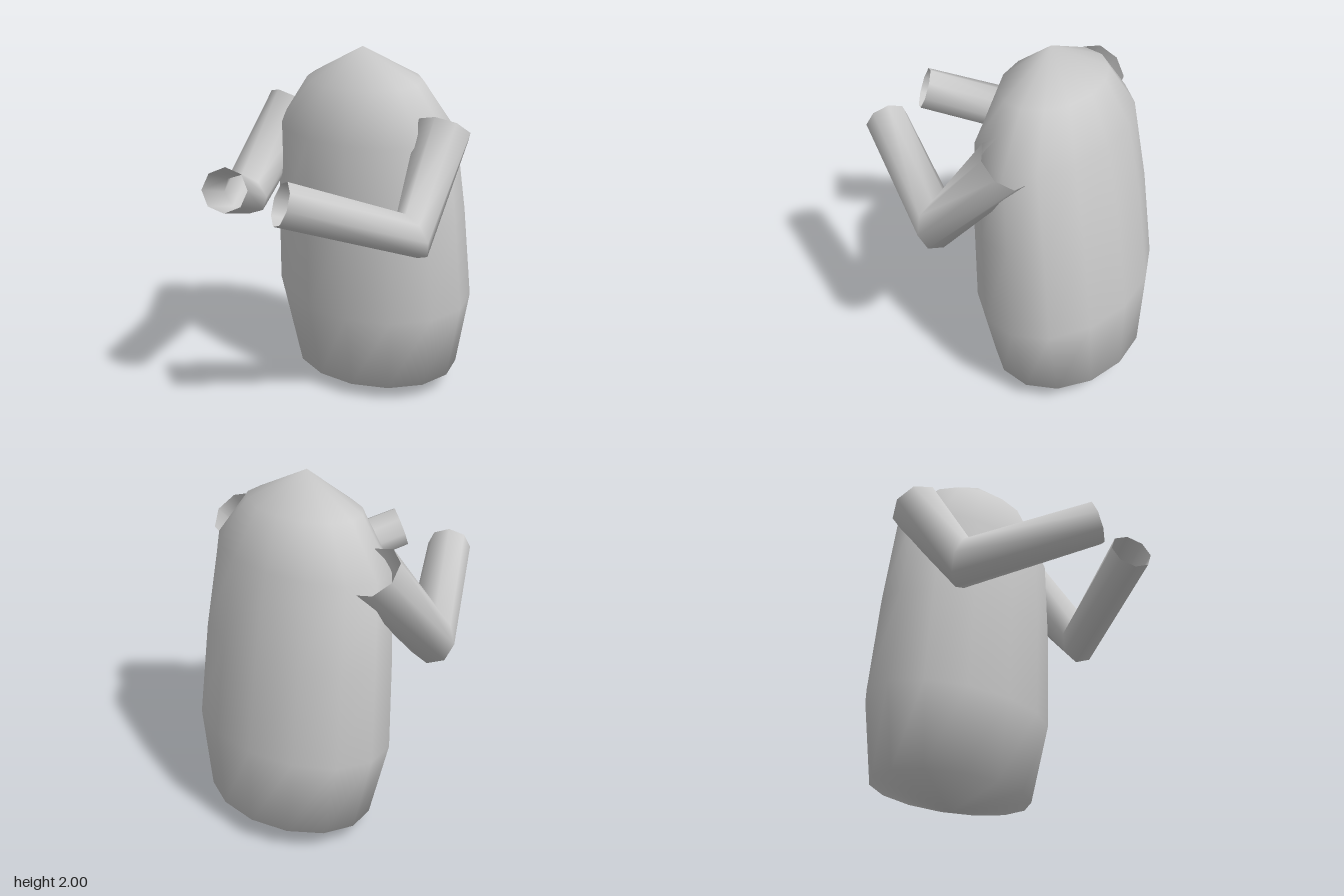
import * as THREE from 'three';

const V = (x, y, z) => new THREE.Vector3(x, y, z);

// Smooth skin over rings of equal point count, optionally closed by end points
function loft(rings, start, end) {
  const n = rings[0].length;
  const points = rings.flat();
  const index = [];
  for (let i = 0; i < rings.length - 1; i++) {
    for (let j = 0; j < n; j++) {
      const k = (j + 1) % n;
      const a = i * n + j, b = i * n + k;
      index.push(a, b, b + n, a, b + n, a + n);
    }
  }
  const cap = (point, first, flip) => {
    const tip = points.push(point) - 1;
    for (let j = 0; j < n; j++) {
      const a = first + j, b = first + (j + 1) % n;
      index.push(tip, ...(flip ? [b, a] : [a, b]));
    }
  };
  if (start) cap(start, 0, true);
  if (end) cap(end, (rings.length - 1) * n, false);
  const geometry = new THREE.BufferGeometry().setFromPoints(points);
  geometry.setIndex(index);
  geometry.computeVertexNormals();
  return geometry;
}

// Oval body: each ring is [front y, front z, back y, back z, half width]
function bodyGeometry() {
  const sides = 14;
  const flat = Math.cos(Math.PI / sides);
  const sections = [
    [0.08, 0.02, 0.14, -0.76, 0.51],
    [0.52, 0.105, 0.60, -0.775, 0.61],
    [1.04, 0.12, 1.13, -0.705, 0.585],
    [1.52, 0.11, 1.585, -0.615, 0.55],
    [1.80, 0.02, 1.84, -0.49, 0.35],
  ];
  const rings = sections.map(([fy, fz, by, bz, w]) =>
    Array.from({ length: sides }, (_, j) => {
      const t = (j + 0.5) * 2 * Math.PI / sides;
      const c = Math.cos(t) / flat;
      return V(w * Math.sin(t), (fy + by) / 2 + c * (fy - by) / 2, (fz + bz) / 2 + c * (fz - bz) / 2);
    }));
  return loft(rings, V(0, 0.005, -0.375), V(0, 2, -0.215));
}

// Bent, open-ended eight-sided arm: shoulder, elbow, hand
function armGeometry(side) {
  const path = [V(side * 0.52, 1.605, -0.25), V(side * 0.585, 1.12, 0.125), V(side * 0.19, 1.362, 0.705)];
  const radii = [0.153, 0.136, 0.12];
  const upper = path[1].clone().sub(path[0]).normalize();
  const fore = path[2].clone().sub(path[1]).normalize();
  const directions = [upper, upper.clone().add(fore).normalize(), fore];
  const rings = path.map((p, i) => {
    const d = directions[i];
    const u = V(0, 1, 0).addScaledVector(d, -d.y).normalize();
    const v = d.clone().cross(u);
    return Array.from({ length: 8 }, (_, j) => {
      const t = j * Math.PI / 4;
      return p.clone()
        .addScaledVector(u, radii[i] * Math.cos(t))
        .addScaledVector(v, radii[i] * Math.sin(t));
    });
  });
  return loft(rings);
}

export function createModel() {
  const group = new THREE.Group();
  const solid = new THREE.MeshStandardMaterial({ color: 0xcccccc });
  const open = new THREE.MeshStandardMaterial({ color: 0xcccccc, side: THREE.DoubleSide });

  const add = (name, geometry, material) => {
    const mesh = new THREE.Mesh(geometry, material);
    mesh.name = name;
    group.add(mesh);
  };
  add('body', bodyGeometry(), solid);
  add('leftArm', armGeometry(1), open);
  add('rightArm', armGeometry(-1), open);
  return group;
}
